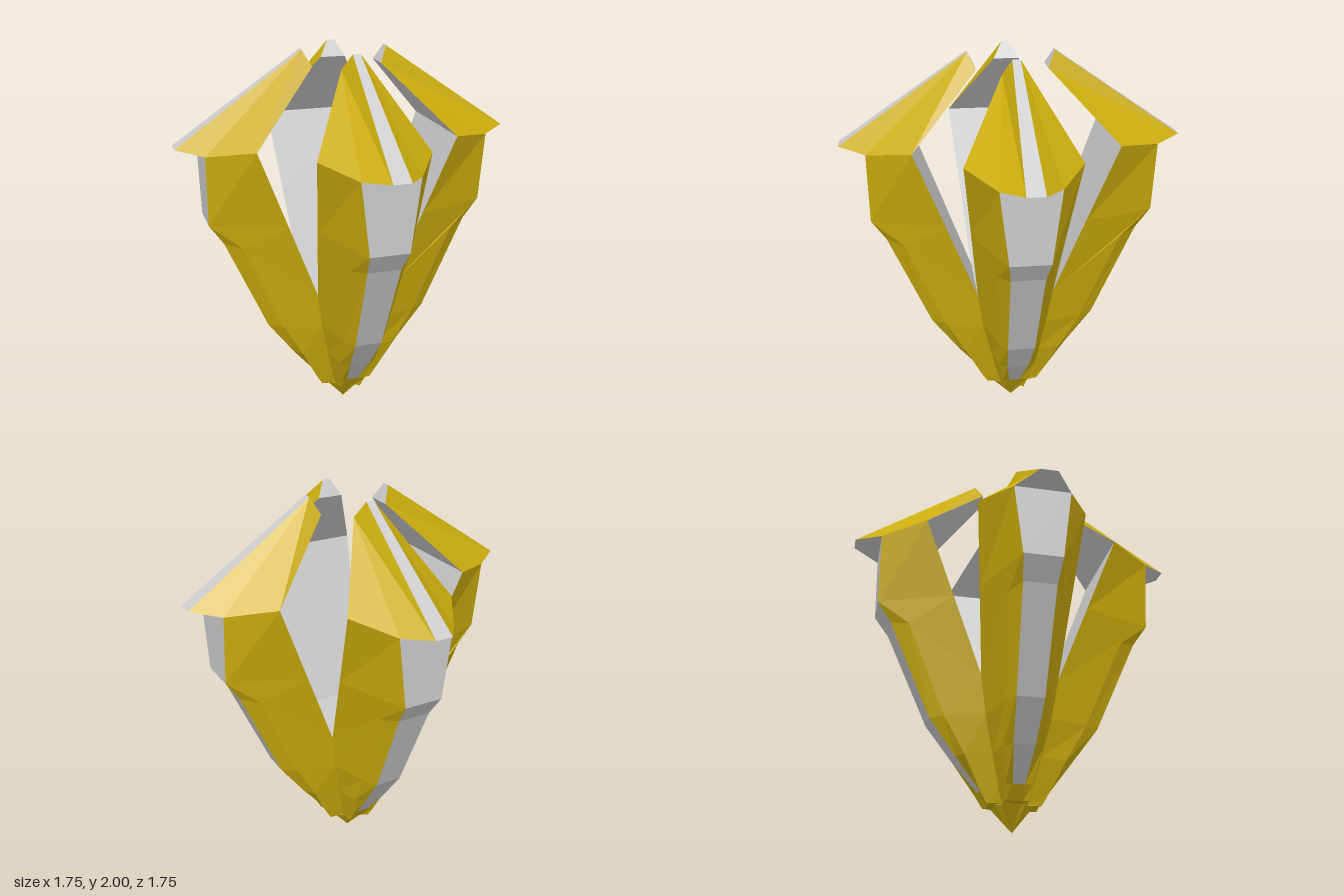
import * as THREE from 'three';

const v = (x, y, z) => new THREE.Vector3(x, y, z);
const flip = (p) => v(-p.x, p.y, p.z);

const material = (color) => new THREE.MeshStandardMaterial({ color, flatShading: true, side: THREE.DoubleSide });

// Fan-triangulates each polygon (corners counter-clockwise) into one faceted mesh
function facets(name, polygons, mat) {
  const pos = [];
  for (const p of polygons) {
    for (let i = 1; i < p.length - 1; i++) {
      const tri = new THREE.Triangle(p[0], p[i], p[i + 1]);
      if (tri.getArea() < 1e-7) continue;
      for (const q of [p[0], p[i], p[i + 1]]) pos.push(q.x, q.y, q.z);
    }
  }
  const geo = new THREE.BufferGeometry();
  geo.setAttribute('position', new THREE.Float32BufferAttribute(pos, 3));
  geo.computeVertexNormals();
  const mesh = new THREE.Mesh(geo, mat);
  mesh.name = name;
  return mesh;
}

// Quads between a left and a right rail, both running upwards
const strip = (left, right) =>
  left.slice(1).map((_, i) => [left[i], right[i], right[i + 1], left[i + 1]]);

// Adds the mirror image of every polygon
const mirrored = (polys) => [...polys, ...polys.map((p) => p.map(flip).reverse())];

// A four-cornered face spanning the centre line, from a lower to an upper point
const span = (low, high) => [flip(low), low, high, flip(high)];

function createPetal(gold, grey) {
  const petal = new THREE.Group();
  const apex = v(0, 0, 0);

  // Rails from the bottom apex up: spine edge, shoulder ridge, side edge
  const spine = [apex, v(0.03, 0.125, 0.09), v(0.03, 0.13, 0.12), v(0.03, 0.2, 0.17), v(0.055, 0.36, 0.3),
    v(0.07, 0.55, 0.44), v(0.085, 1.05, 0.66), v(0.1, 1.16, 0.735), v(0.145, 1.53, 0.74)];
  const ridge = [apex, v(0.05, 0.125, 0.1), v(0.055, 0.13, 0.14), v(0.068, 0.2, 0.18), v(0.1, 0.36, 0.26),
    v(0.11, 0.55, 0.37), v(0.14, 1.03, 0.57), spine[7], spine[8]];
  const side = [apex, v(0.065, 0.125, 0.065), v(0.065, 0.13, 0.065), v(0.085, 0.2, 0.085), v(0.125, 0.36, 0.125),
    v(0.17, 0.55, 0.17), v(0.2, 0.75, 0.2), v(0.242, 1.16, 0.357), v(0.285, 1.57, 0.515)];

  const sides = mirrored([...strip(spine, ridge), ...strip(ridge, side)]);
  const base = strip(spine.slice(0, 4).map(flip), spine.slice(0, 4));
  petal.add(facets('petalShell', [...sides, ...base], gold));

  const upperSpine = spine.slice(3);
  petal.add(facets('petalSpine', strip(upperSpine.map(flip), upperSpine), grey));

  const upperSide = side.slice(6);
  petal.add(facets('petalInnerWall', strip(upperSide, upperSide.map(flip)), grey));

  // Hood leaning in over the opening
  const beak = v(0.045, 1.55, 0.875);
  const tip = v(0.02, 2, 0.22);
  const tipLow = v(0.065, 1.92, 0.18);
  const shoulder = spine[8];
  const corner = side[8];
  petal.add(facets('hoodSides', mirrored([[tip, beak, shoulder, corner, tipLow]]), gold));
  petal.add(facets('hoodTrim', [
    span(beak, tip),
    span(shoulder, beak),
    span(corner, tipLow).reverse(),
    span(tipLow, tip).reverse(),
  ], grey));
  return petal;
}

export function createModel() {
  const model = new THREE.Group();
  model.name = 'fourPetalPod';
  const gold = material(0xccad0d);
  const grey = material(0xcccccc);

  ['front', 'left', 'back', 'right'].forEach((where, i) => {
    const petal = createPetal(gold, grey);
    petal.name = where + 'Petal';
    petal.rotation.y = (i * Math.PI) / 2;
    model.add(petal);
  });

  // Floor of the cup between the petals
  const floor = new THREE.Mesh(new THREE.PlaneGeometry(0.4, 0.4), grey);
  floor.name = 'cupFloor';
  floor.rotation.x = -Math.PI / 2;
  floor.position.y = 0.75;
  model.add(floor);
  return model;
}
